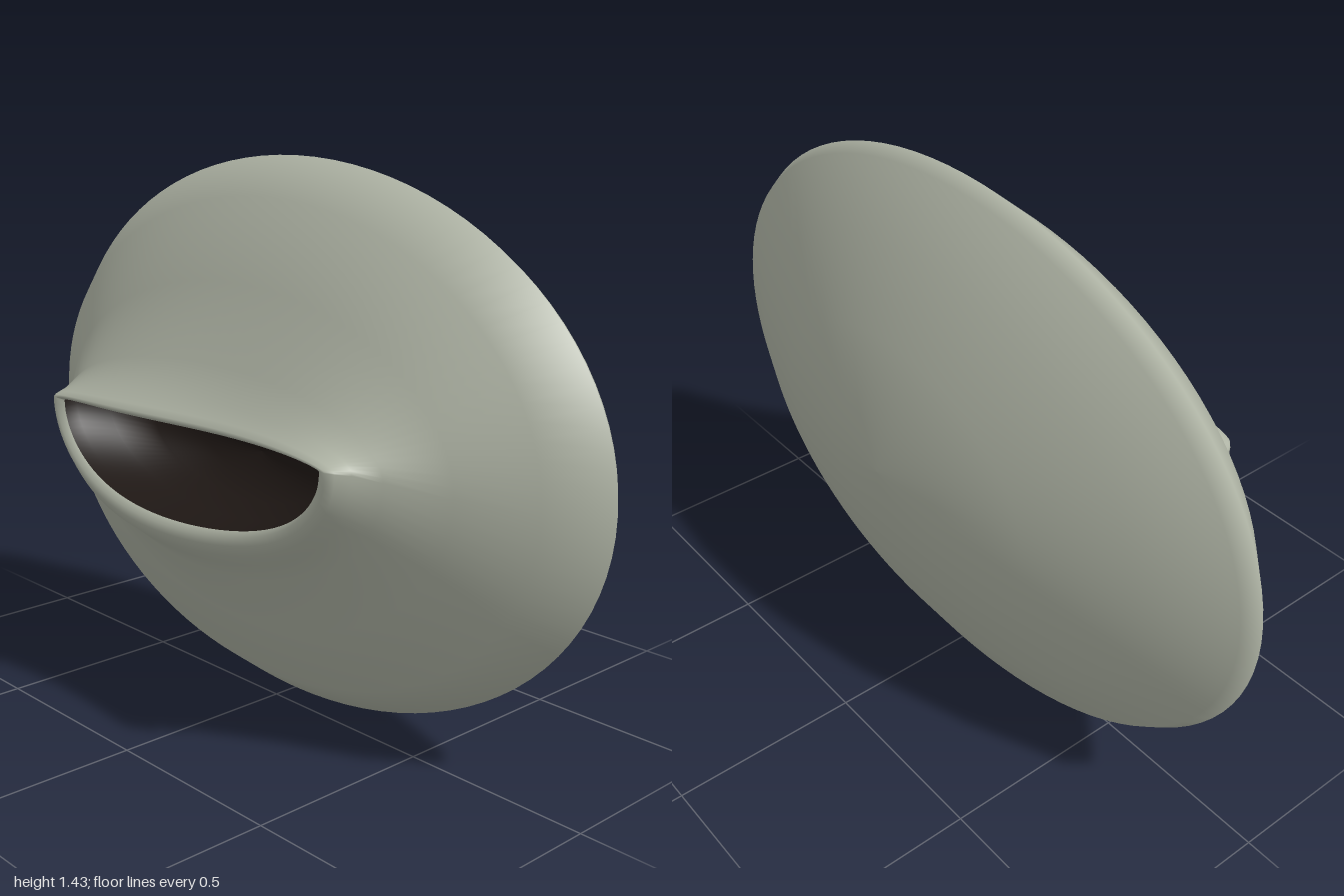
import * as THREE from 'three';

const SEGMENTS = 96;

// Each ring: [half width, height of its corners, top, bottom, z, lip waviness]
const BACK = [
  [0, 0.717, 0.717, 0.717, -0.357, 0],
  [0.22, 0.717, 0.875, 0.56, -0.344, 0],
  [0.48, 0.717, 1.06, 0.374, -0.294, 0],
  [0.75, 0.717, 1.255, 0.18, -0.207, 0],
  [0.972, 0.717, 1.412, 0.022, -0.11, 0],
  [1, 0.717, 1.432, 0.002, -0.07, 0],
];
const FRONT = [
  [0.885, 0.718, 1.335, 0.085, 0.04, 0],
  [0.72, 0.735, 1.13, 0.262, 0.135, 0],
  [0.6, 0.765, 0.94, 0.41, 0.228, 0.3],
  [0.56, 0.783, 0.865, 0.462, 0.283, 0.7],
  [0.54, 0.788, 0.832, 0.492, 0.318, 1],
  [0.522, 0.79, 0.818, 0.52, 0.333, 1],
  [0.503, 0.789, 0.808, 0.542, 0.333, 1],
];
const MOUTH_EDGE = [0.487, 0.784, 0.8, 0.555, 0.318, 1];
const CAVITY = [
  [0.488, 0.784, 0.803, 0.553, 0.28, 0.6],
  [0.46, 0.78, 0.812, 0.555, 0.2, 0],
  [0.36, 0.75, 0.79, 0.58, 0.12, 0],
  [0.2, 0.71, 0.74, 0.63, 0.07, 0],
  [0, 0.69, 0.69, 0.69, 0.05, 0],
];

// Joins closed rings, each made of an upper and a lower half ellipse
function loft(rings) {
  const positions = [];
  const index = [];
  rings.forEach(([a, mid, top, bottom, z, wave], i) => {
    for (let j = 0; j < SEGMENTS; j++) {
      const t = (j / SEGMENTS) * Math.PI * 2;
      const x = a * Math.cos(t);
      const s = Math.sin(t);
      const y = mid + s * (s > 0 ? top - mid : mid - bottom);
      // uneven lip: one side pushed out, the other drawn in
      const dz = -0.02 * wave * Math.sin((Math.PI * 2 * x) / 1.05);
      positions.push(x, y, z + dz);
      if (i === 0) continue;
      const k = (j + 1) % SEGMENTS;
      const p = (i - 1) * SEGMENTS;
      const q = i * SEGMENTS;
      index.push(p + j, p + k, q + k, p + j, q + k, q + j);
    }
  });
  const geometry = new THREE.BufferGeometry();
  geometry.setAttribute('position', new THREE.Float32BufferAttribute(positions, 3));
  geometry.setIndex(index);
  geometry.computeVertexNormals();
  return geometry;
}

function addPart(group, name, rings, color) {
  const material = new THREE.MeshStandardMaterial({ color, side: THREE.DoubleSide });
  const mesh = new THREE.Mesh(loft(rings), material);
  mesh.name = name;
  group.add(mesh);
}

export function createModel() {
  const group = new THREE.Group();
  group.name = 'mouthedDisc';
  // Domed back, rim, sloping front and rolled lips in one skin
  addPart(group, 'body', [...BACK, ...FRONT, MOUTH_EDGE], 0xb0b5a6);
  // Dark hollow behind the lips
  addPart(group, 'mouthCavity', [MOUTH_EDGE, ...CAVITY], 0x1e1714);
  return group;
}
